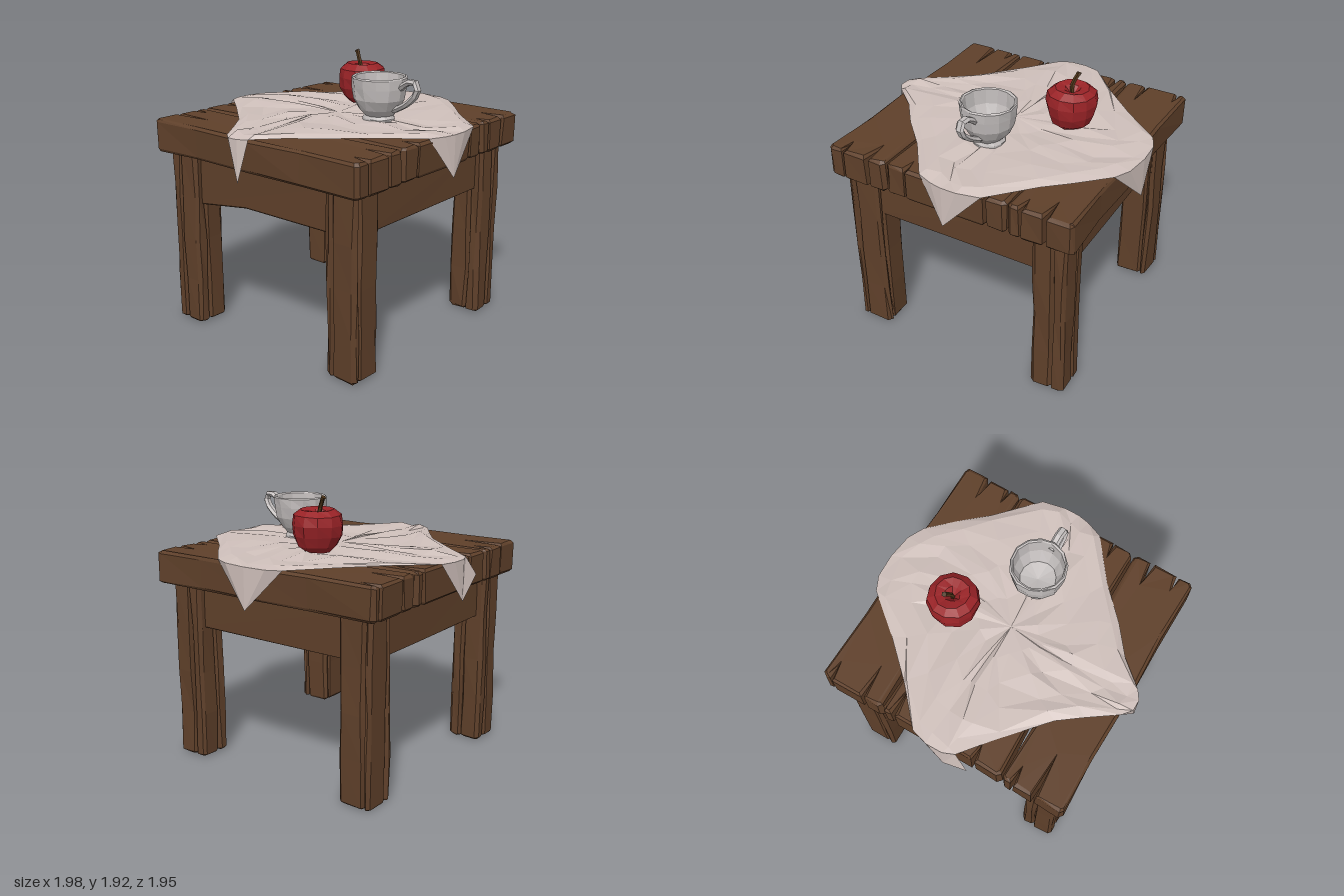
import * as THREE from 'three';

const material = (name, color, side = THREE.FrontSide) => {
  const m = new THREE.MeshStandardMaterial({ color, side });
  m.name = name;
  return m;
};

// Repeatable value in -1..1 from a position, so shared corners move together
const hash = (x, y, z) => {
  const s = Math.sin(Math.round(x * 500) * 12.99 + Math.round(y * 500) * 78.23 + Math.round(z * 500) * 37.72) * 43758.5453;
  return (s - Math.floor(s)) * 2 - 1;
};

// Roughens a geometry and gives it faceted normals
function facet(geometry, amount = 0) {
  const g = geometry.index ? geometry.toNonIndexed() : geometry;
  const p = g.attributes.position;
  for (let i = 0; i < p.count; i++) {
    const x = p.getX(i), y = p.getY(i), z = p.getZ(i);
    p.setXYZ(i, x + amount * hash(x, y, z), y + amount * 0.5 * hash(y, z, x), z + amount * hash(z, x, y));
  }
  g.computeVertexNormals();
  return g;
}

function extrude(points, depth, bevel, steps = 1) {
  const shape = new THREE.Shape(points.map(([x, y]) => new THREE.Vector2(x, y)));
  return new THREE.ExtrudeGeometry(shape, {
    depth: depth - 2 * bevel, steps, bevelEnabled: true, bevelSegments: 1,
    bevelSize: bevel, bevelThickness: bevel, bevelOffset: -bevel,
  }).translate(0, 0, bevel);
}

export function createModel() {
  const model = new THREE.Group();
  const wood = material('brown wood', 0x5f402a);
  const linen = material('pale linen', 0xcfc0bb, THREE.DoubleSide);
  const china = material('grey china', 0xc3bebd);
  const red = material('apple red', 0x9a2327);
  const bark = material('stem brown', 0x4c3318);

  const add = (parent, name, geometry, mat) => {
    const mesh = new THREE.Mesh(geometry, mat);
    mesh.name = name;
    parent.add(mesh);
    return mesh;
  };

  // Table, turned slightly about the vertical
  const table = new THREE.Group();
  table.name = 'table';
  table.rotation.y = 0.07;
  model.add(table);

  // Planks with split ends; each notch is [x, length, width]
  const L = 0.915;
  const plank = (name, x0, x1, frontSplits, backSplits) => {
    const c = 0.025, pts = [];
    const end = (splits, s) => {
      pts.push([s * (s < 0 ? -x0 - c : x1 - c) * 1, s * L]);
      pts.pop();
      const a = s < 0 ? x0 : x1, b = s < 0 ? x1 : x0;
      pts.push([a, s * (L - c)], [a - s * c, s * L]);
      for (const [x, len, w] of splits)
        pts.push([x + s * w / 2, s * L], [x, s * (L - len)], [x - s * w / 2, s * L]);
      pts.push([b + s * c, s * L], [b, s * (L - c)]);
    };
    end(backSplits, -1);
    pts.push([x1 - 0.012, -0.4], [x1, 0.05], [x1 - 0.01, 0.5]);
    end(frontSplits, 1);
    pts.push([x0 + 0.01, 0.45], [x0, 0], [x0 + 0.012, -0.5]);
    const g = extrude(pts, 0.23, 0.018).rotateX(Math.PI / 2).translate(0, 1.505, 0);
    add(table, name, facet(g, 0.006), wood);
  };
  plank('leftPlank', -0.915, -0.462, [[-0.6, 0.17, 0.03], [-0.8, 0.1, 0.02]], [[-0.7, 0.3, 0.025], [-0.54, 0.12, 0.02]]);
  plank('middlePlank', -0.452, 0.448, [[0.3, 0.14, 0.025], [-0.3, 0.1, 0.02]], [[-0.25, 0.12, 0.025], [0.36, 0.2, 0.03]]);
  plank('rightPlank', 0.46, 0.915, [[0.72, 0.16, 0.03], [0.55, 0.1, 0.02]], [[0.6, 0.22, 0.025], [0.85, 0.12, 0.02]]);

  // Legs with a split running down every face
  for (const sx of [-1, 1]) for (const sz of [-1, 1]) {
    const h = 0.122, c = 0.022, g = 0.05 * sx - 0.02 * sz, pts = [];
    for (let k = 0; k < 4; k++) {
      const a = k * Math.PI / 2, cos = Math.cos(a), sin = Math.sin(a);
      for (const [x, y] of [[-h + c, -h], [g - 0.016, -h], [g, -h + 0.03], [g + 0.016, -h], [h - c, -h]])
        pts.push([x * cos - y * sin, x * sin + y * cos]);
    }
    const leg = facet(extrude(pts, 1.27, 0.015, 4).rotateX(-Math.PI / 2).translate(0.72 * sx, 0.005, 0.72 * sz), 0.007);
    add(table, (sz > 0 ? 'front' : 'back') + (sx > 0 ? 'Left' : 'Right') + 'Leg', leg, wood);
  }

  // Aprons between the legs; one has a sagging lower edge
  const apronNames = ['frontApron', 'leftApron', 'backApron', 'rightApron'];
  apronNames.forEach((name, k) => {
    const sag = k === 3 ? 0.07 : 0;
    const pts = [[-0.66, 0.97 - sag], [-0.16, 0.97], [0.66, 0.97], [0.66, 1.285], [-0.66, 1.285]];
    const g = extrude(pts, 0.11, 0.006).translate(0, 0, 0.675).rotateY(k * Math.PI / 2);
    add(table, name, facet(g, 0.003), wood);
  });

  // Cloth: crumpled rings inside an outline, plus four hanging corners
  const outline = [
    [-0.12, 0.92], [0, 0.96], [0.09, 0.972], [0.2, 0.965], [0.36, 0.92], [0.6, 0.62], [0.75, 0.47],
    [0.93, 0.27], [0.98, 0.15], [0.99, -0.03], [0.97, -0.2], [0.915, -0.3], [0.62, -0.51], [0.35, -0.73],
    [0.12, -0.95], [0, -0.975], [-0.12, -0.965], [-0.2, -0.925], [-0.35, -0.71], [-0.6, -0.38], [-0.75, -0.25],
    [-0.935, -0.1], [-0.985, -0.03], [-0.98, 0.05], [-0.935, 0.11], [-0.75, 0.25], [-0.58, 0.44], [-0.36, 0.64],
  ];
  const n = outline.length, tris = [];
  const rings = [0.001, 0.25, 0.5, 0.75, 0.92, 1].map((f, r) => outline.map(([x, z], i) => {
    const px = x * f, pz = z * f;
    if (r === 0) return [0, 1.53, 0];
    if (r === 5) return [x, 1.515, z];
    const j = 0.035 * (r > 1 ? 1 : 0.3);
    return [px + j * hash(r, i, 3), 1.533 + 0.016 * hash(i, r, 7), pz + j * hash(i, 5, r)];
  }));
  for (let r = 0; r < 5; r++) for (let i = 0; i < n; i++) {
    const j = (i + 1) % n, a = rings[r], b = rings[r + 1];
    tris.push(a[i], b[i], b[j]);
    if (r > 0) tris.push(a[i], b[j], a[j]);
  }
  const corners = [
    [0, 4, [0.09, 1.22, 0.972]], [7, 11, [0.99, 1.225, -0.03]],
    [14, 17, [-0.11, 1.23, -0.97]], [21, 24, [-0.985, 1.22, 0.05]],
  ];
  for (const [from, to, tip] of corners)
    for (let i = from; i < to; i++) tris.push(rings[5][i], tip, rings[5][i + 1]);
  tris.push(rings[5][17], corners[2][2], [-0.3, 1.38, -0.95]);
  const cloth = new THREE.BufferGeometry();
  cloth.setAttribute('position', new THREE.Float32BufferAttribute(tris.flat(), 3));
  cloth.computeVertexNormals();
  add(model, 'cloth', cloth, linen);

  const lathe = (profile, sides) =>
    new THREE.LatheGeometry(profile.map(([r, y]) => new THREE.Vector2(r, y)), sides);

  // Cup with foot, hollow bowl and handle
  const cup = new THREE.Group();
  cup.name = 'cup';
  cup.position.set(0.03, 0, 0.36);
  model.add(cup);
  add(cup, 'cupBowl', facet(lathe([
    [0, 1.52], [0.11, 1.52], [0.112, 1.545], [0.1, 1.565], [0.14, 1.61], [0.178, 1.68], [0.19, 1.76], [0.194, 1.825],
    [0.185, 1.833], [0.172, 1.825], [0.165, 1.72], [0.125, 1.63], [0, 1.6],
  ], 13), 0.004), china);
  const handlePath = new THREE.CatmullRomCurve3(
    [[0.13, 1.61], [0.24, 1.67], [0.32, 1.75], [0.325, 1.81], [0.26, 1.82], [0.17, 1.76]]
      .map(([z, y]) => new THREE.Vector3(0, y, z)));
  const handle = new THREE.TubeGeometry(handlePath, 9, 0.021, 6).scale(1.5, 1, 1).translate(0.01, 0, 0);
  add(cup, 'cupHandle', facet(handle), china);

  // Apple with dimpled top and bent stem
  const apple = new THREE.Group();
  apple.name = 'apple';
  apple.position.set(0.38, 0, -0.12);
  model.add(apple);
  add(apple, 'appleBody', facet(lathe([
    [0, 1.55], [0.085, 1.535], [0.135, 1.575], [0.165, 1.645], [0.176, 1.72], [0.165, 1.785], [0.115, 1.822], [0.055, 1.81], [0, 1.755],
  ], 11), 0.006), red);
  const stemPath = new THREE.CatmullRomCurve3([
    new THREE.Vector3(0, 1.75, 0), new THREE.Vector3(-0.01, 1.83, -0.015), new THREE.Vector3(0.012, 1.905, -0.06)]);
  add(apple, 'appleStem', facet(new THREE.TubeGeometry(stemPath, 4, 0.015, 5)), bark);
  const tip = add(apple, 'stemTip', facet(new THREE.CylinderGeometry(0.019, 0.014, 0.02, 5)), bark);
  tip.position.set(0.012, 1.9, -0.058);
  tip.rotation.x = -0.6;

  return model;
}
